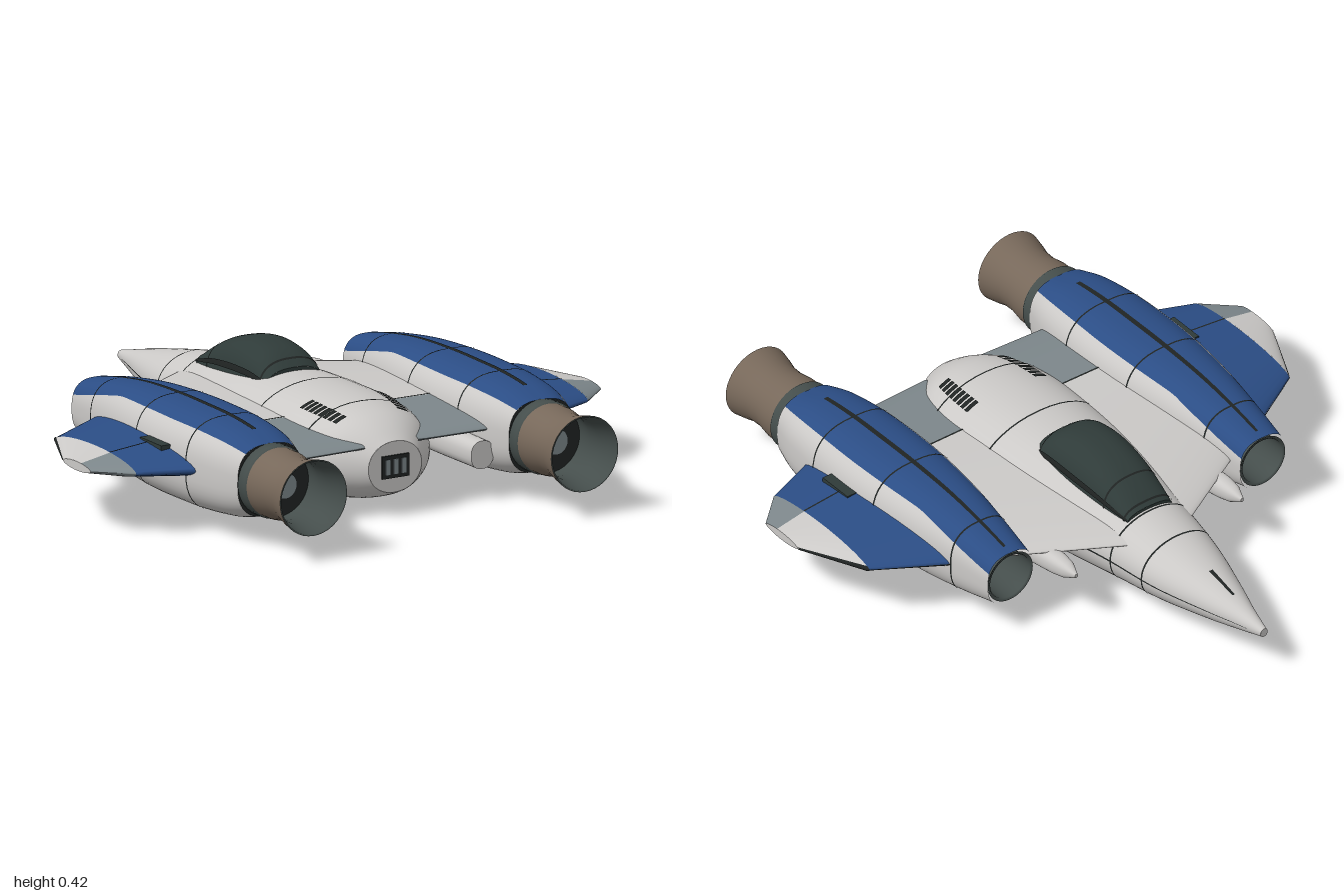
import * as THREE from 'three';
import { mergeVertices } from 'three/addons/utils/BufferGeometryUtils.js';

const mat = (name, color, side = THREE.FrontSide) => new THREE.MeshStandardMaterial({ name, color, side });
const white = mat('hull white', 0xcbc9c7);
const blue = mat('panel blue', 0x2b4d85);
const grey = mat('flap grey', 0x7d878b);
const glass = mat('canopy glass', 0x2f3b39);
const brown = mat('nozzle brown', 0x77685a);
const black = mat('seam black', 0x202423);
const inner = mat('engine interior', 0x454e4c, THREE.DoubleSide);

const TAU = Math.PI * 2;
const spow = (v, p) => Math.sign(v) * Math.abs(v) ** p;
const val = (f, u) => (typeof f === 'function' ? f(u) : f);

// Interpolates the columns of a table whose first column is the position
function sample(rows, u, smooth) {
  const last = rows.length - 1;
  u = Math.min(Math.max(u, rows[0][0]), rows[last][0]);
  let i = 0;
  while (i < last - 1 && u > rows[i + 1][0]) i++;
  const a = rows[i], b = rows[i + 1], h = b[0] - a[0], k = (u - a[0]) / h;
  const p = rows[Math.max(i - 1, 0)], q = rows[Math.min(i + 2, last)];
  return a.map((_, c) => {
    if (!smooth) return a[c] + (b[c] - a[c]) * k;
    const ma = (b[c] - p[c]) / (b[0] - p[0]) * h, mb = (q[c] - a[c]) / (q[0] - a[0]) * h;
    const k2 = k * k, k3 = k2 * k;
    return (2 * k3 - 3 * k2 + 1) * a[c] + (k3 - 2 * k2 + k) * ma + (3 * k2 - 2 * k3) * b[c] + (k3 - k2) * mb;
  });
}

// Body along z; rows are [z, half width, top, middle, bottom]; t is in turns, 0 = +x, 0.25 = top
const body = (rows, n, cx = 0) => (z, t, off = 0) => {
  const [, w, top, mid, bot] = sample(rows, z, true);
  const c = spow(Math.cos(t * TAU), 2 / n), s = spow(Math.sin(t * TAU), 2 / n);
  return [cx + (w + off) * c, mid + ((s > 0 ? top - mid : mid - bot) + off) * s, z];
};
// Wing along x; rows are [x, leading z, trailing z, thickness, height]; t = 0 is the trailing edge
const wing = (rows, side) => (x, t, off = 0) => {
  const [, le, te, th, y] = sample(rows, x, false);
  const c = Math.cos(t * TAU), s = Math.sin(t * TAU);
  return [side * x, y + (th / 2 + off) * spow(s, 1.2), (le + te) / 2 + ((te - le) / 2 + off) * c];
};

// Mesh over a range of a surface; t limits may vary with u
function patch(parent, name, material, P, u0, u1, t0 = 0, t1 = 1, { off = 0, nu = 24, nv = 40, flip = false } = {}) {
  const pos = [], idx = [];
  for (let i = 0; i <= nu; i++) {
    const u = u0 + (u1 - u0) * i / nu, a = val(t0, u), b = val(t1, u);
    for (let j = 0; j <= nv; j++) pos.push(...P(u, a + (b - a) * j / nv, off));
  }
  for (let i = 0; i < nu; i++) for (let j = 0; j < nv; j++) {
    const a = i * (nv + 1) + j, b = a + 1, c = a + nv + 1, d = c + 1;
    idx.push(...(flip ? [a, c, b, b, c, d] : [a, b, c, b, d, c]));
  }
  let g = new THREE.BufferGeometry();
  g.setAttribute('position', new THREE.Float32BufferAttribute(pos, 3));
  g.setIndex(idx);
  g = mergeVertices(g, 1e-5);
  g.computeVertexNormals();
  return add(parent, name, g, material);
}
function add(parent, name, g, material, x = 0, y = 0, z = 0) {
  const m = new THREE.Mesh(g, material);
  m.name = name;
  m.position.set(x, y, z);
  parent.add(m);
  return m;
}
// Flat end closing a surface at u
function cap(parent, name, material, P, u, flip) {
  const a = P(u, 0), b = P(u, 0.5), mid = a.map((v, i) => (v + b[i]) / 2);
  patch(parent, name, material, (k, t) => P(u, t).map((v, i) => v + (mid[i] - v) * k), 0, 1, 0, 1, { nu: 1, flip });
}
const seam = (parent, P, z, t0 = 0, t1 = 1) =>
  patch(parent, 'panelSeam', black, P, z - 0.003, z + 0.003, t0, t1, { off: 0.002, nu: 1 });
const lathe = (pts) => new THREE.LatheGeometry(pts.map(p => new THREE.Vector2(...p)), 40).rotateX(Math.PI / 2);

function buildFuselage(root) {
  const g = new THREE.Group();
  g.name = 'fuselage';
  root.add(g);
  const P = body([
    [-1, 0.014, 0.165, 0.15, 0.135], [-0.9, 0.042, 0.19, 0.15, 0.11], [-0.8, 0.075, 0.215, 0.152, 0.09],
    [-0.6, 0.133, 0.258, 0.157, 0.06], [-0.4, 0.168, 0.295, 0.165, 0.035], [-0.2, 0.21, 0.322, 0.17, 0.017],
    [0, 0.24, 0.338, 0.17, 0.006], [0.2, 0.253, 0.342, 0.17, 0.002], [0.4, 0.248, 0.338, 0.17, 0.014],
    [0.55, 0.205, 0.318, 0.168, 0.037], [0.62, 0.15, 0.288, 0.167, 0.058], [0.67, 0.1, 0.25, 0.166, 0.08]], 2.1);
  patch(g, 'hull', white, P, -1, 0.67, 0, 1, { nu: 60, nv: 56 });
  cap(g, 'noseTip', white, P, -1, true);
  cap(g, 'tailPlate', white, P, 0.67, false);
  for (const z of [-0.545, -0.41, 0.18, 0.46]) seam(g, P, z);
  patch(g, 'spineSeam', black, P, -0.84, -0.72, 0.24, 0.26, { off: 0.002, nv: 2 });
  for (const t of [0, 0.5]) patch(g, 'sideSeam', black, P, -0.95, -0.2, t - 0.003, t + 0.003, { off: 0.002, nv: 2 });
  patch(g, 'noseBellyPanel', grey, P, -0.54, -0.415, 0.67, 0.83, { off: 0.003 });
  patch(g, 'rearBellyPanel', grey, P, 0.1, 0.455, 0.66, 0.84, { off: 0.003 });
  // Louvred vents on the back
  for (const [a, b] of [[0.145, 0.18], [0.32, 0.355]]) for (let i = 0; i < 8; i++)
    patch(g, 'ventSlat', black, P, 0.35 + i * 0.0235, 0.367 + i * 0.0235, a, b, { off: 0.004, nu: 2, nv: 6 });
  // Tail grille
  add(g, 'tailGrille', new THREE.BoxGeometry(0.1, 0.075, 0.008), black, 0, 0.167, 0.672);
  for (const x of [-0.03, 0, 0.03])
    add(g, 'grilleSlot', new THREE.BoxGeometry(0.018, 0.05, 0.006), grey, x, 0.167, 0.675);

  // Canopy with sill and hoops
  const C = body([
    [-0.4, 0.09, 0.305, 0.27, 0.25], [-0.34, 0.102, 0.345, 0.27, 0.25], [-0.25, 0.115, 0.389, 0.275, 0.25],
    [-0.13, 0.124, 0.414, 0.28, 0.25], [-0.03, 0.122, 0.404, 0.285, 0.25], [0.02, 0.117, 0.382, 0.285, 0.25],
    [0.055, 0.11, 0.352, 0.285, 0.25]], 2.5);
  patch(g, 'canopy', glass, C, -0.4, 0.055, 0, 0.5);
  cap(g, 'canopyFront', glass, C, -0.4, true);
  cap(g, 'canopyBack', glass, C, 0.055, false);
  for (const t of [0.045, 0.455]) patch(g, 'canopySill', black, C, -0.4, 0.055, t - 0.012, t + 0.012, { off: 0.004, nv: 3 });
  for (const z of [-0.385, -0.3, 0.03]) seam(g, C, z, 0, 0.5);
}

function buildEngine(root, side) {
  const g = new THREE.Group();
  g.name = side > 0 ? 'leftEngine' : 'rightEngine';
  root.add(g);
  const cx = side * 0.51, cy = 0.21;
  const P = body([
    [-0.33, 0.09, 0.305, 0.212, 0.12], [-0.17, 0.116, 0.338, 0.212, 0.087], [0, 0.143, 0.361, 0.212, 0.066],
    [0.2, 0.165, 0.37, 0.212, 0.055], [0.35, 0.17, 0.37, 0.212, 0.055], [0.5, 0.164, 0.367, 0.212, 0.058],
    [0.65, 0.146, 0.352, 0.211, 0.071], [0.735, 0.122, 0.33, 0.21, 0.09]], 2.7, cx);
  // Blue top reaches further down the sides toward the intake
  const edge = z => (48 - 26 * Math.max(0, -z / 0.33)) / 360;
  patch(g, 'engineTop', blue, P, -0.33, 0.735, edge, z => 0.5 - edge(z), { nu: 40 });
  patch(g, 'engineShell', white, P, -0.33, 0.735, z => 0.5 - edge(z), z => 1 + edge(z), { nu: 40 });
  cap(g, 'engineRear', black, P, 0.735, false);
  for (const z of [-0.17, 0.18, 0.49]) seam(g, P, z);
  patch(g, 'topSeam', black, P, -0.3, 0.64, 0.247, 0.253, { off: 0.002, nv: 2 });
  // Intake duct with hub
  add(g, 'intakeDuct', lathe([[0.091, -0.33], [0.08, -0.328], [0.076, -0.15], [0.001, -0.15]]), inner, cx, 0.212);
  add(g, 'intakeHub', lathe([[0.001, -0.23], [0.02, -0.2], [0.03, -0.15]]).scale(1, 1, 1), inner, cx, 0.212);
  // Collar, flared nozzle and its interior
  add(g, 'nozzleCollar', lathe([[0.1, 0.725], [0.121, 0.727], [0.121, 0.772], [0.115, 0.78]].reverse()), black, cx, cy)
    .material = inner;
  const flare = [[0.116, 0.77], [0.115, 0.82], [0.107, 0.87], [0.108, 0.92], [0.118, 0.96], [0.126, 1]];
  const shell = add(g, 'nozzle', lathe(flare), brown, cx, cy);
  shell.material = brown;
  add(g, 'nozzleInterior', lathe([...flare.map(([r, z]) => [r - 0.005, z]), [0.126, 1]]), inner, cx, cy);
  add(g, 'exhaustWall', new THREE.CircleGeometry(0.113, 32), black, cx, cy, 0.79);
  add(g, 'exhaustHub', new THREE.CylinderGeometry(0.043, 0.045, 0.04, 28).rotateX(Math.PI / 2), grey, cx, cy, 0.81);
}

function buildWing(root, side) {
  const g = new THREE.Group();
  g.name = side > 0 ? 'leftWing' : 'rightWing';
  root.add(g);
  const flip = side > 0, o = { flip, nu: 10, nv: 32 };
  // Angle at which a section reaches a given z
  const at = (rows, z) => x => {
    const [, le, te] = sample(rows, x, false);
    return Math.acos(THREE.MathUtils.clamp((2 * z - le - te) / (te - le), -1, 1)) / TAU;
  };
  // Inner wing with flap
  const inRows = [[0.1, -0.47, 0.65, 0.095, 0.235], [0.45, -0.265, 0.64, 0.095, 0.23]];
  const I = wing(inRows, side), hinge = at(inRows, 0.32);
  patch(g, 'innerWing', white, I, 0.1, 0.45, hinge, x => 1 - hinge(x), o);
  patch(g, 'flap', grey, I, 0.1, 0.45, x => -hinge(x), hinge, o);
  patch(g, 'flapSeam', black, I, 0.1, 0.45, at(inRows, 0.323), at(inRows, 0.316), { ...o, off: 0.002, nv: 1 });
  // Outer wing with pale tip
  const outRows = [[0.6, -0.18, 0.57, 0.125, 0.215], [0.85, -0.03, 0.47, 0.075, 0.215], [0.96, 0.2, 0.37, 0.03, 0.215]];
  const O = wing(outRows, side), tipHinge = at(outRows, 0.31);
  patch(g, 'outerWing', blue, O, 0.6, 0.85, 0, 1, o);
  patch(g, 'wingTip', white, O, 0.85, 0.96, tipHinge, x => 1 - tipHinge(x), o);
  patch(g, 'tipFlap', grey, O, 0.85, 0.96, x => -tipHinge(x), tipHinge, o);
  cap(g, 'tipEnd', white, O, 0.96, flip);
  patch(g, 'tipEdge', black, O, 0.85, 0.96, 0.45, 0.55, { ...o, off: 0.003 });
  patch(g, 'leadingSeam', black, O, 0.6, 0.85, 0.49, 0.51, { ...o, off: 0.002 });
  patch(g, 'aileronSeam', black, O, 0.6, 0.85, at(outRows, 0.313), at(outRows, 0.307), { ...o, off: 0.002, nv: 1 });
  add(g, 'hingeFairing', new THREE.BoxGeometry(0.05, 0.03, 0.13), glass, side * 0.685, 0.256, 0.33);
  // Slim pod under the inner wing
  const pod = body([
    [-0.45, 0.006, 0.212, 0.205, 0.198], [-0.42, 0.022, 0.228, 0.205, 0.18], [-0.35, 0.034, 0.237, 0.2, 0.163],
    [-0.1, 0.042, 0.22, 0.175, 0.13], [0.3, 0.046, 0.205, 0.155, 0.107], [0.66, 0.042, 0.2, 0.153, 0.107]], 2.4, side * 0.335);
  patch(g, 'pod', white, pod, -0.45, 0.66, 0, 1, { nv: 28 });
  cap(g, 'podTip', white, pod, -0.45, true);
  cap(g, 'podEnd', white, pod, 0.66, false);
}

export function createModel() {
  const root = new THREE.Group();
  root.name = 'spacecraft';
  buildFuselage(root);
  for (const side of [1, -1]) {
    buildEngine(root, side);
    buildWing(root, side);
  }
  return root;
}
